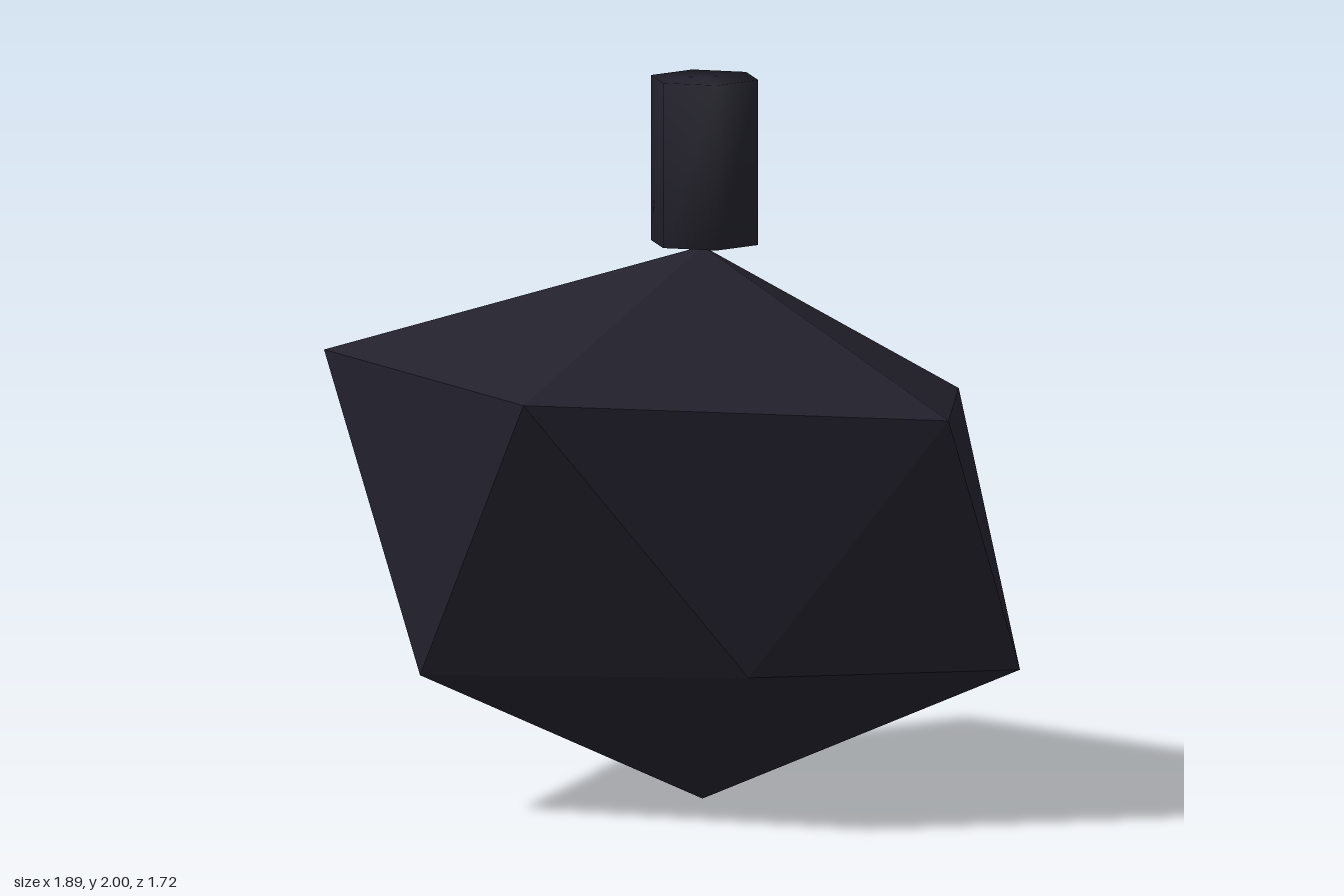
import * as THREE from 'three';
import { mergeVertices } from 'three/addons/utils/BufferGeometryUtils.js';

// Faceted, irregular twenty-sided stone: two rings of five corners between two poles
function stoneGeometry() {
  const top = [-0.045, 1.533, -0.14];
  const base = [-0.045, 0, -0.14];
  const upper = [
    [0.945, 1.155, -0.15], [0.32, 1.23, 0.86], [-0.95, 1.205, 0.44],
    [-0.94, 1.2, -0.73], [0.21, 1.095, -0.86],
  ];
  const lower = [
    [0.59, 0.445, 0.27], [-0.33, 0.39, 0.65], [-0.85, 0.435, -0.14],
    [-0.285, 0.455, -0.8], [0.705, 0.39, -0.635],
  ];
  const corners = [];
  for (let i = 0; i < 5; i++) {
    const j = (i + 1) % 5;
    corners.push(top, upper[j], upper[i]);
    corners.push(upper[i], upper[j], lower[i]);
    corners.push(lower[i], upper[j], lower[j]);
    corners.push(base, lower[i], lower[j]);
  }
  const geometry = new THREE.BufferGeometry();
  geometry.setAttribute('position', new THREE.Float32BufferAttribute(corners.flat(), 3));
  geometry.computeVertexNormals();
  return geometry;
}

// Six-sided peg with normals blended across its rims
function pegGeometry() {
  const raw = new THREE.CylinderGeometry(0.154, 0.154, 0.458, 6);
  raw.deleteAttribute('normal');
  raw.deleteAttribute('uv');
  const geometry = mergeVertices(raw);
  geometry.computeVertexNormals();
  return geometry;
}

export function createModel() {
  const model = new THREE.Group();
  model.name = 'stoneWithPeg';
  const darkSlate = new THREE.MeshStandardMaterial({ color: 0x22212c });
  darkSlate.name = 'dark slate';

  const stone = new THREE.Mesh(stoneGeometry(), darkSlate);
  stone.name = 'stone';

  const peg = new THREE.Mesh(pegGeometry(), darkSlate);
  peg.name = 'peg';
  peg.position.set(-0.045, 1.771, -0.148);

  model.add(stone, peg);
  return model;
}
